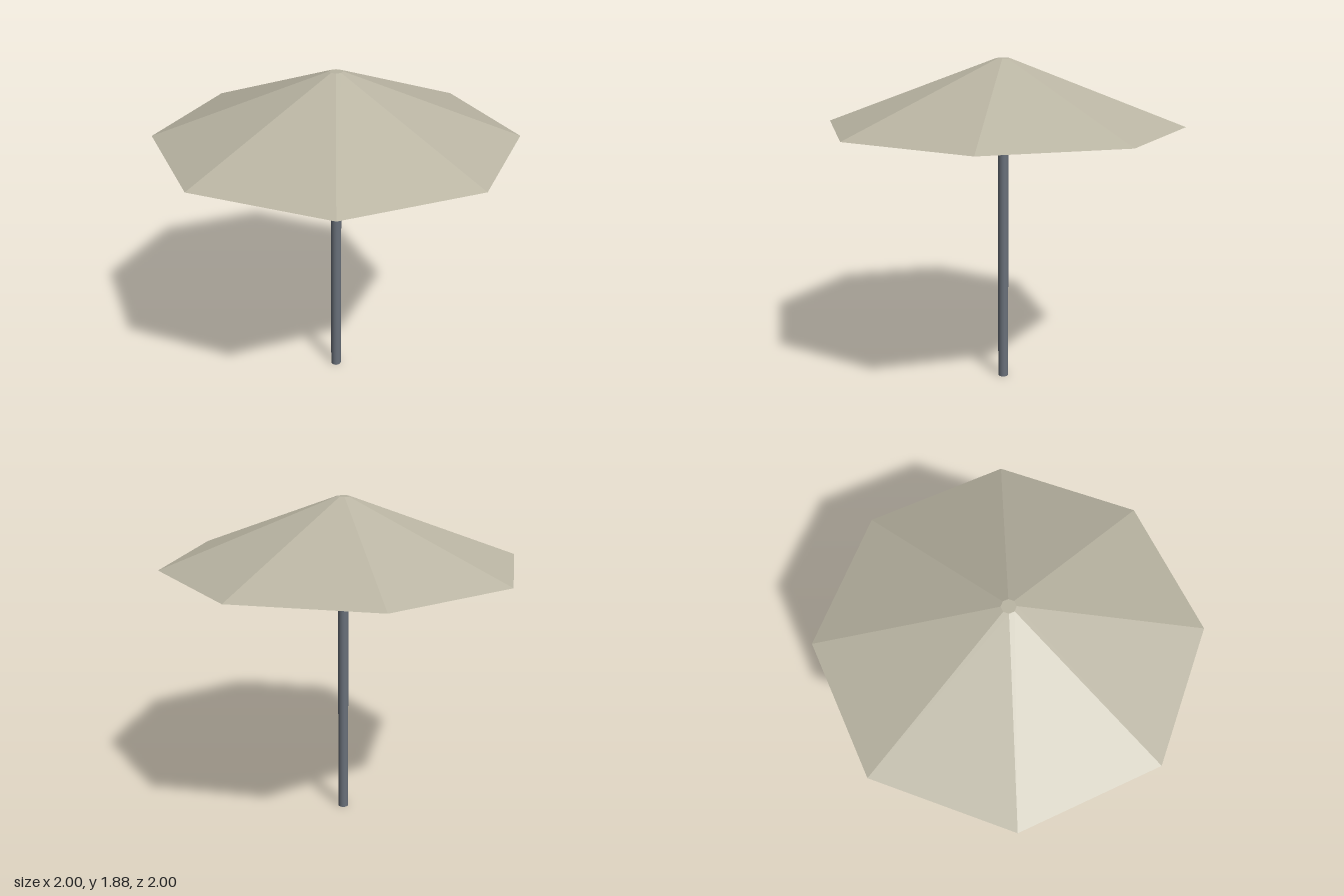
import * as THREE from 'three';

const RIM_Y = 1.525, TOP_Y = 1.885, TOP_RADIUS = 0.038;

export function createModel() {
  const model = new THREE.Group();
  model.name = 'parasol';

  const fabric = new THREE.MeshStandardMaterial({ color: 0xbab5a3, flatShading: true, side: THREE.DoubleSide });
  fabric.name = 'beige fabric';
  const metal = new THREE.MeshStandardMaterial({ color: 0x69707a });
  metal.name = 'grey metal';

  const add = (name, geometry, material, y) => {
    const mesh = new THREE.Mesh(geometry, material);
    mesh.name = name;
    mesh.position.y = y;
    model.add(mesh);
    return mesh;
  };

  // Eight-panel canopy, open underneath
  const panels = new THREE.CylinderGeometry(TOP_RADIUS, 1, TOP_Y - RIM_Y, 8, 1, true).toNonIndexed();
  panels.computeVertexNormals();
  add('canopy', panels, fabric, (TOP_Y + RIM_Y) / 2);

  // Small flat cap closing the peak
  const cap = new THREE.CircleGeometry(TOP_RADIUS, 8).rotateX(-Math.PI / 2);
  add('canopyCap', cap, fabric, TOP_Y);

  // Round pole reaching up into the peak
  const poleHeight = 1.84;
  add('pole', new THREE.CylinderGeometry(0.03, 0.03, poleHeight, 16), metal, poleHeight / 2);

  return model;
}
